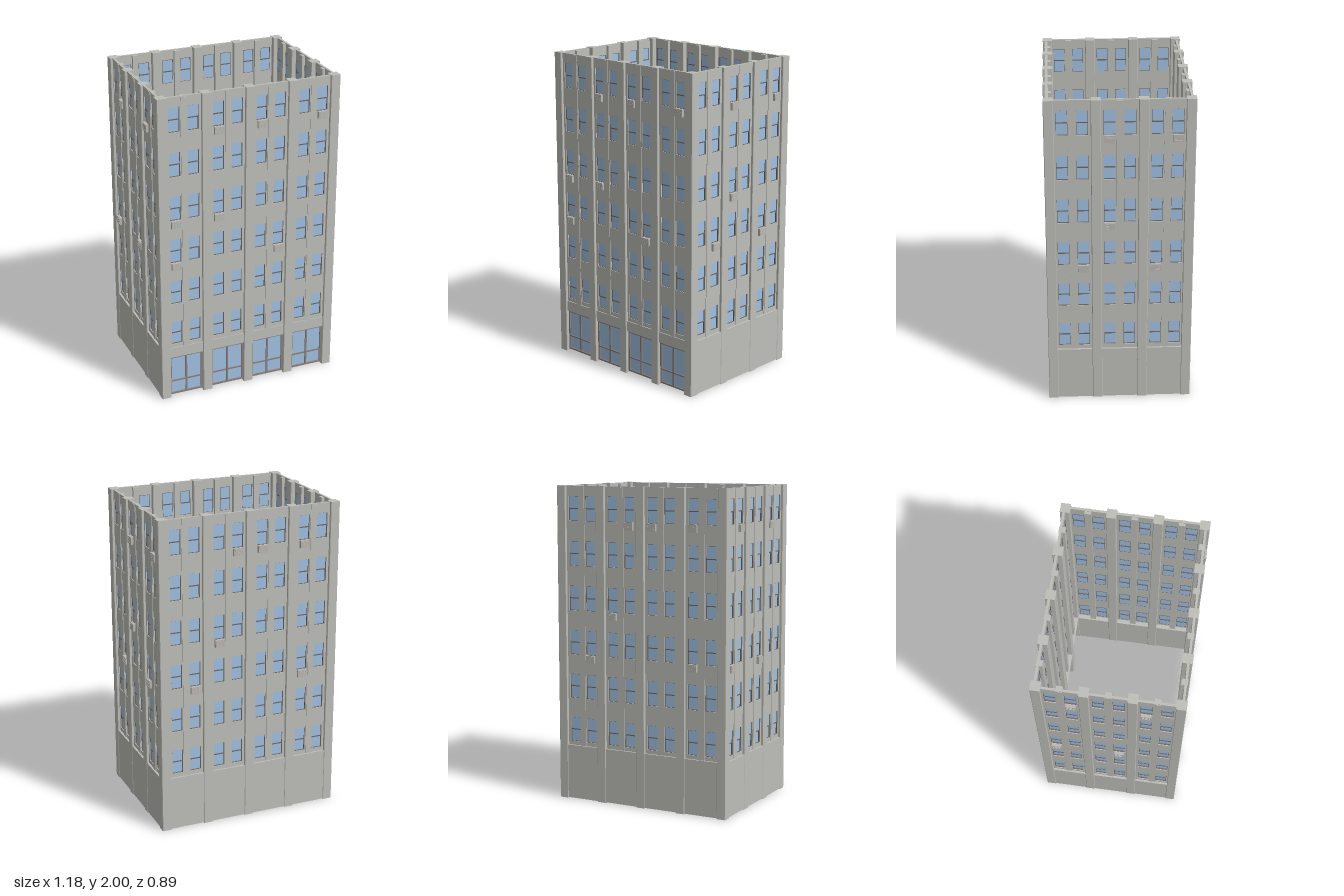
import * as THREE from 'three';
import { mergeGeometries } from 'three/addons/utils/BufferGeometryUtils.js';

const HX = 0.59, HZ = 0.445, TOP = 2, BASE = 0.35;
const PILLAR = 0.06, STEP = 0.28, BAY = STEP - PILLAR;
const WIN_W = 0.07, WIN_H = 0.155, FLOORS = 6;
const floorY = f => 0.375 + 0.281 * f; // window bottom on each floor

// box given by its x, y and z ranges
function box(x0, x1, y0, y1, z0, z1) {
  return new THREE.BoxGeometry(x1 - x0, y1 - y0, z1 - z0)
    .translate((x0 + x1) / 2, (y0 + y1) / 2, (z0 + z1) / 2);
}

// four bars around a rectangle
function ring(x0, x1, y0, y1, z0, z1, t) {
  return [
    box(x0, x0 + t, y0, y1, z0, z1), box(x1 - t, x1, y0, y1, z0, z1),
    box(x0 + t, x1 - t, y0, y0 + t, z0, z1), box(x0 + t, x1 - t, y1 - t, y1, z0, z1),
  ];
}

// pillar with chamfered corners, standing on y = 0
function pillar(x, z) {
  const h = PILLAR / 2, c = 0.003, s = new THREE.Shape();
  s.moveTo(-h + c, -h); s.lineTo(h - c, -h); s.lineTo(h, -h + c); s.lineTo(h, h - c);
  s.lineTo(h - c, h); s.lineTo(-h + c, h); s.lineTo(-h, h - c); s.lineTo(-h, -h + c);
  s.closePath();
  return new THREE.ExtrudeGeometry(s, { depth: TOP, bevelEnabled: false })
    .rotateX(-Math.PI / 2).translate(x, 0, z);
}

export function createModel() {
  const mat = (name, color) => {
    const m = new THREE.MeshStandardMaterial({ color });
    m.name = name;
    return m;
  };
  const concrete = mat('concrete', 0xbebeb9);
  const glass = mat('glass', 0xa1c1e2);
  const windowMetal = mat('windowMetal', 0x6e6763);
  const shopMetal = mat('shopMetal', 0x8c827e);
  const unitMetal = mat('unitMetal', 0xbab7b2);

  const model = new THREE.Group();
  model.name = 'officeBuilding';

  // One face of the building; z = 0 is its outer plane, x runs along it.
  // units lists [floor, x] of the window air conditioners.
  function facade(name, bays, kind, units) {
    const g = new THREE.Group();
    g.name = name;
    const add = (part, geos, material) => {
      const m = new THREE.Mesh(mergeGeometries(geos), material);
      m.name = part;
      g.add(m);
    };
    const half = bays * STEP / 2;
    const centres = Array.from({ length: bays }, (_, i) => (i - (bays - 1) / 2) * STEP);
    const columns = centres.flatMap(c => [c - 0.06, c + 0.06]);

    // upper wall with window openings
    const s = new THREE.Shape();
    s.moveTo(-half, BASE); s.lineTo(half, BASE); s.lineTo(half, TOP - 0.002); s.lineTo(-half, TOP - 0.002);
    s.closePath();
    const frames = [], panes = [];
    for (const x of columns) for (let f = 0; f < FLOORS; f++) {
      const y = floorY(f), a = x - WIN_W / 2, b = x + WIN_W / 2, mid = y + WIN_H / 2;
      const hole = new THREE.Path();
      hole.moveTo(a, y); hole.lineTo(a, y + WIN_H); hole.lineTo(b, y + WIN_H); hole.lineTo(b, y);
      hole.closePath();
      s.holes.push(hole);
      // frame, meeting rail and two sashes
      frames.push(...ring(a, b, y, y + WIN_H, -0.034, -0.021, 0.002));
      frames.push(box(a, b, mid - 0.003, mid + 0.003, -0.034, -0.021));
      panes.push(box(a + 0.002, b - 0.002, mid, y + WIN_H - 0.002, -0.029, -0.025));
      panes.push(box(a + 0.002, b - 0.002, y + 0.002, mid, -0.033, -0.029));
    }
    add('upperWall', [new THREE.ExtrudeGeometry(s, { depth: 0.015, bevelEnabled: false }).translate(0, 0, -0.031)], concrete);
    add('windowFrames', frames, windowMetal);
    add('windowPanes', panes, glass);

    // slim ribs between paired windows, and pillars between bays
    add('ribs', centres.map(c => box(c - 0.019, c + 0.019, BASE, TOP - 0.006, -0.05, -0.012)), concrete);
    add('pillars', centres.slice(1).map(c => pillar(c - STEP / 2, -PILLAR / 2)), concrete);

    // ground floor
    const span = (y0, y1, z0, z1) => centres.map(c => box(c - BAY / 2, c + BAY / 2, y0, y1, z0, z1));
    if (kind === 'shop') {
      add('shopHeader', span(0.282, BASE, -0.06, -0.01), concrete);
      const metal = [], sheets = [];
      for (const c of centres) {
        const a = c - BAY / 2, b = c + BAY / 2;
        metal.push(...ring(a, b, 0.01, 0.282, -0.04, -0.02, 0.011));
        metal.push(box(c - 0.006, c + 0.006, 0.02, 0.272, -0.04, -0.021));
        metal.push(box(a + 0.01, b - 0.01, 0.1, 0.109, -0.038, -0.022));
        sheets.push(box(a + 0.008, b - 0.008, 0.018, 0.275, -0.032, -0.028));
      }
      add('shopFrames', metal, shopMetal);
      add('shopGlass', sheets, glass);
    } else {
      const thick = kind === 'thick' ? -0.058 : -0.014;
      add('groundWall', span(0.004, BASE - 0.006, thick, -0.003), concrete);
      add('groundLedge', span(BASE - 0.006, BASE, -0.06, -0.003), concrete);
    }

    // air conditioners under some windows
    const bodies = [], slats = [];
    for (const [floor, x] of units) {
      const y = floorY(floor - 1) - 0.047;
      bodies.push(box(x - 0.03, x + 0.03, y, y + 0.046, -0.02, 0));
      for (let i = 0; i < 4; i++)
        slats.push(box(x - 0.024, x + 0.024, y + 0.007 + i * 0.01, y + 0.01 + i * 0.01, -0.001, 0.002));
    }
    add('airConditioners', bodies, unitMetal);
    add('airConditionerSlats', slats, unitMetal);
    model.add(g);
    return g;
  }

  const front = facade('frontFacade', 4, 'shop',
    [[6, -0.2], [6, 0.08], [6, 0.48], [4, -0.48], [4, -0.2], [3, -0.48], [3, 0.2]]);
  front.position.z = HZ;

  const back = facade('backFacade', 4, 'thin',
    [[6, -0.08], [6, 0.08], [6, 0.36], [4, -0.2], [3, -0.36], [3, 0.36]]);
  back.position.z = -HZ;
  back.rotation.y = Math.PI;

  const left = facade('leftFacade', 3, 'thick',
    [[6, -0.06], [6, 0.34], [4, -0.06], [3, -0.22], [3, 0.22]]);
  left.position.x = HX;
  left.rotation.y = Math.PI / 2;

  const right = facade('rightFacade', 3, 'thick',
    [[6, -0.22], [6, 0.22], [3, -0.34], [3, 0.06]]);
  right.position.x = -HX;
  right.rotation.y = -Math.PI / 2;

  // corner pillars
  for (const sx of [-1, 1]) for (const sz of [-1, 1]) {
    const m = new THREE.Mesh(pillar(sx * (HX - PILLAR / 2), sz * (HZ - PILLAR / 2)), concrete);
    m.name = 'cornerPillar';
    model.add(m);
  }
  return model;
}
